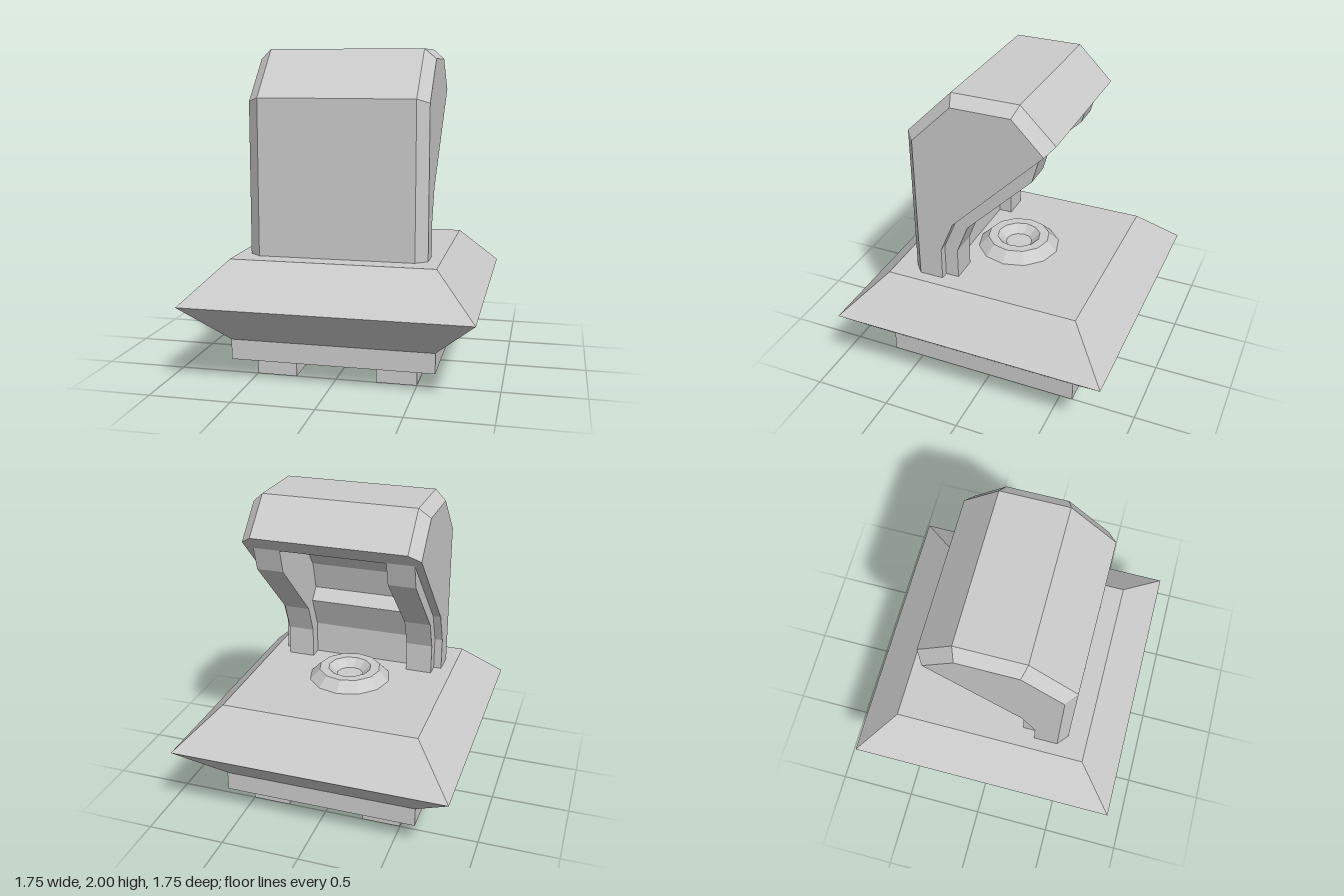
import * as THREE from 'three';

const material = new THREE.MeshStandardMaterial({ color: 0xcccccc, flatShading: true });

function add(parent, name, geometry) {
  const mesh = new THREE.Mesh(geometry, material);
  mesh.name = name;
  parent.add(mesh);
  return mesh;
}

// Closed solid through side profiles; each section is { x, profile: [[z, y], ...] }
function loft(sections) {
  const pos = [];
  const put = (s, i) => {
    const [z, y] = s.profile[i % s.profile.length];
    pos.push(s.x, y, z);
  };
  for (let k = 0; k < sections.length - 1; k++) {
    const a = sections[k], b = sections[k + 1];
    for (let i = 0; i < a.profile.length; i++) {
      put(a, i); put(b, i); put(b, i + 1);
      put(a, i); put(b, i + 1); put(a, i + 1);
    }
  }
  const cap = (s, flip) => {
    const pts = s.profile.map(([z, y]) => new THREE.Vector2(z, y));
    for (const [a, b, c] of THREE.ShapeUtils.triangulateShape(pts, [])) {
      for (const i of flip ? [a, c, b] : [a, b, c]) put(s, i);
    }
  };
  cap(sections[0], false);
  cap(sections[sections.length - 1], true);
  const geometry = new THREE.BufferGeometry();
  geometry.setAttribute('position', new THREE.Float32BufferAttribute(pos, 3));
  geometry.computeVertexNormals();
  return geometry;
}

// Loft on the +x side, or its mirror image on the -x side
function sideLoft(sections, side) {
  const placed = sections.map(s => ({ x: s.x * side, profile: s.profile }));
  return loft(side < 0 ? placed.reverse() : placed);
}

const lathe = (points, sides) =>
  new THREE.LatheGeometry(points.map(([r, y]) => new THREE.Vector2(r, y)), sides);

export function createModel() {
  const model = new THREE.Group();
  model.name = 'hoodedPedestal';

  // Feet and plinth
  for (const x of [-0.375, 0.375]) {
    for (const z of [-0.375, 0.375]) {
      add(model, 'foot', new THREE.BoxGeometry(0.25, 0.125, 0.25)).position.set(x, 0.0625, z);
    }
  }
  add(model, 'plinth', new THREE.BoxGeometry(1.25, 0.125, 1.25)).position.y = 0.1875;

  // Square base with a sharp flared rim
  const d = Math.SQRT2;
  add(model, 'flaredBase', lathe(
    [[0, 0.25], [0.625 * d, 0.25], [0.875 * d, 0.5], [0.625 * d, 0.75], [0, 0.75]], 4
  )).rotation.y = Math.PI / 4;

  // Low ring with a funnel-shaped hollow
  add(model, 'socketRing', lathe(
    [[0.265, 0.75], [0.2, 0.815], [0.14, 0.815], [0.085, 0.765], [0, 0.765]], 12
  ));

  // Hood: outer outline, and the same outline inset for the chamfered sides
  const rim = [[0.2, 1.163], [0.286, 0.96], [0.286, 0.75]];
  const crown = [[0.5, 0.75], [0.5, 1.71], [0.21, 2], [-0.21, 2], [-0.425, 1.788]];
  const outer = [...crown, ...rim];
  const inset = [[0.44, 0.75], [0.44, 1.685], [0.185, 1.94], [-0.185, 1.94], [-0.38, 1.743], ...rim];
  const hollow = [[-0.33, 1.693], [-0.25, 1.777], [-0.12, 1.75], [0.06, 1.62], [0.22, 1.42], [0.27, 1.235]];
  const rib = [
    [0.4, 0.75], [0.4, 1.1], [-0.25, 1.75], [-0.334, 1.697],
    [-0.29, 1.545], [0.127, 1.13], [0.2, 0.945], [0.2, 0.75],
  ];

  const hood = new THREE.Group();
  hood.name = 'hood';
  model.add(hood);

  // Middle of the hood, recessed between the ribs
  const middle = [...crown, ...hollow, ...rim];
  add(hood, 'hoodMiddle', loft([{ x: -0.33, profile: middle }, { x: 0.33, profile: middle }]));

  // Chamfered cheeks and the ribs that line the opening
  for (const side of [-1, 1]) {
    add(hood, 'hoodCheek', sideLoft(
      [{ x: 0.33, profile: outer }, { x: 0.48, profile: outer }, { x: 0.55, profile: inset }], side));
    add(hood, 'openingRib', sideLoft([{ x: 0.33, profile: rib }, { x: 0.5, profile: rib }], side));
  }

  return model;
}
